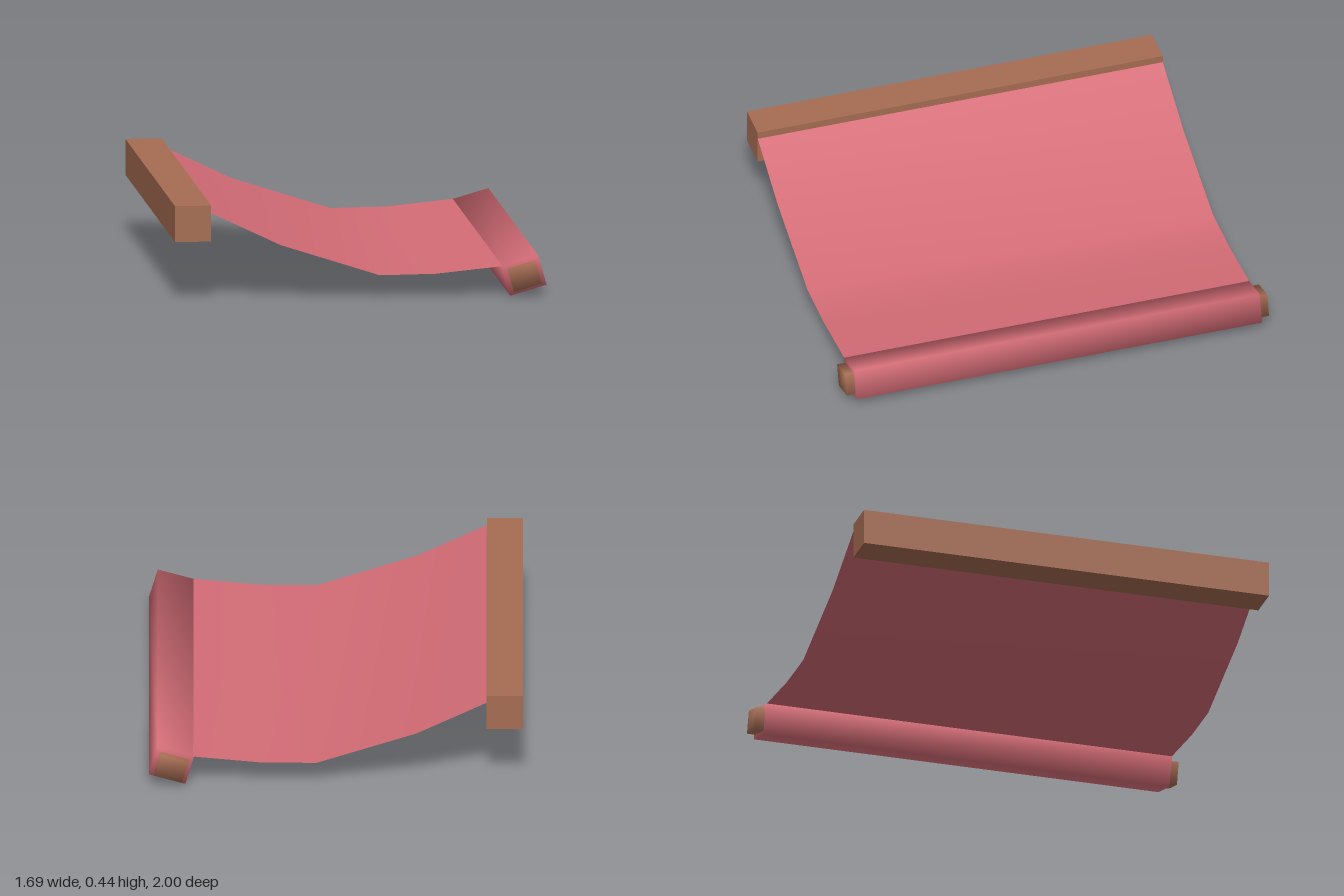
import * as THREE from 'three';
import { mergeVertices } from 'three/addons/utils/BufferGeometryUtils.js';

const LENGTH = 1.92;

// Box with shared corners, softly shaded: each normal points out along its corner
function softBox(w, h, d) {
  const box = new THREE.BoxGeometry(w, h, d);
  box.deleteAttribute('uv');
  box.deleteAttribute('normal');
  const geo = mergeVertices(box);
  const p = geo.attributes.position;
  const normals = [];
  for (let i = 0; i < p.count; i++) {
    const n = new THREE.Vector3(Math.sign(p.getX(i)), Math.sign(p.getY(i)), Math.sign(p.getZ(i))).normalize();
    normals.push(n.x, n.y, n.z);
  }
  geo.setAttribute('normal', new THREE.Float32BufferAttribute(normals, 3));
  return geo;
}

// Thin sheet that follows a profile in x, y and is swept along z
function sheet(profile, depth) {
  const geo = new THREE.PlaneGeometry(1, depth, profile.length - 1, 1);
  geo.rotateX(-Math.PI / 2);
  const p = geo.attributes.position;
  for (let i = 0; i < p.count; i++) {
    const [x, y] = profile[i % profile.length];
    p.setXYZ(i, x, y, p.getZ(i));
  }
  geo.computeVertexNormals();
  return geo;
}

export function createModel() {
  const model = new THREE.Group();
  const wood = new THREE.MeshStandardMaterial({ color: 0xa56c52 });
  wood.name = 'wood';
  const cloth = new THREE.MeshStandardMaterial({ color: 0xd46c76, side: THREE.DoubleSide });
  cloth.name = 'cloth';

  const add = (parent, name, geo, mat) => {
    const mesh = new THREE.Mesh(geo, mat);
    mesh.name = name;
    parent.add(mesh);
    return mesh;
  };

  // Square beam holding the high edge
  add(model, 'beam', new THREE.BoxGeometry(0.165, 0.165, LENGTH), wood).position.set(-0.767, 0.357, 0);

  // Sagging cloth between beam and roller
  const sag = [[-0.685, 0.405], [-0.368, 0.252], [0.085, 0.105], [0.338, 0.107], [0.65, 0.137]];
  add(model, 'canopy', sheet(sag, LENGTH), cloth);

  // Tilted roller: wrapped cloth with the wooden rod poking out at both ends
  const roller = new THREE.Group();
  roller.name = 'roller';
  roller.position.set(0.743, 0.0915, 0);
  roller.rotation.z = THREE.MathUtils.degToRad(16);
  add(roller, 'clothWrap', softBox(0.172, 0.141, LENGTH), cloth);
  add(roller, 'rod', softBox(0.13, 0.105, 2), wood);
  model.add(roller);

  return model;
}
